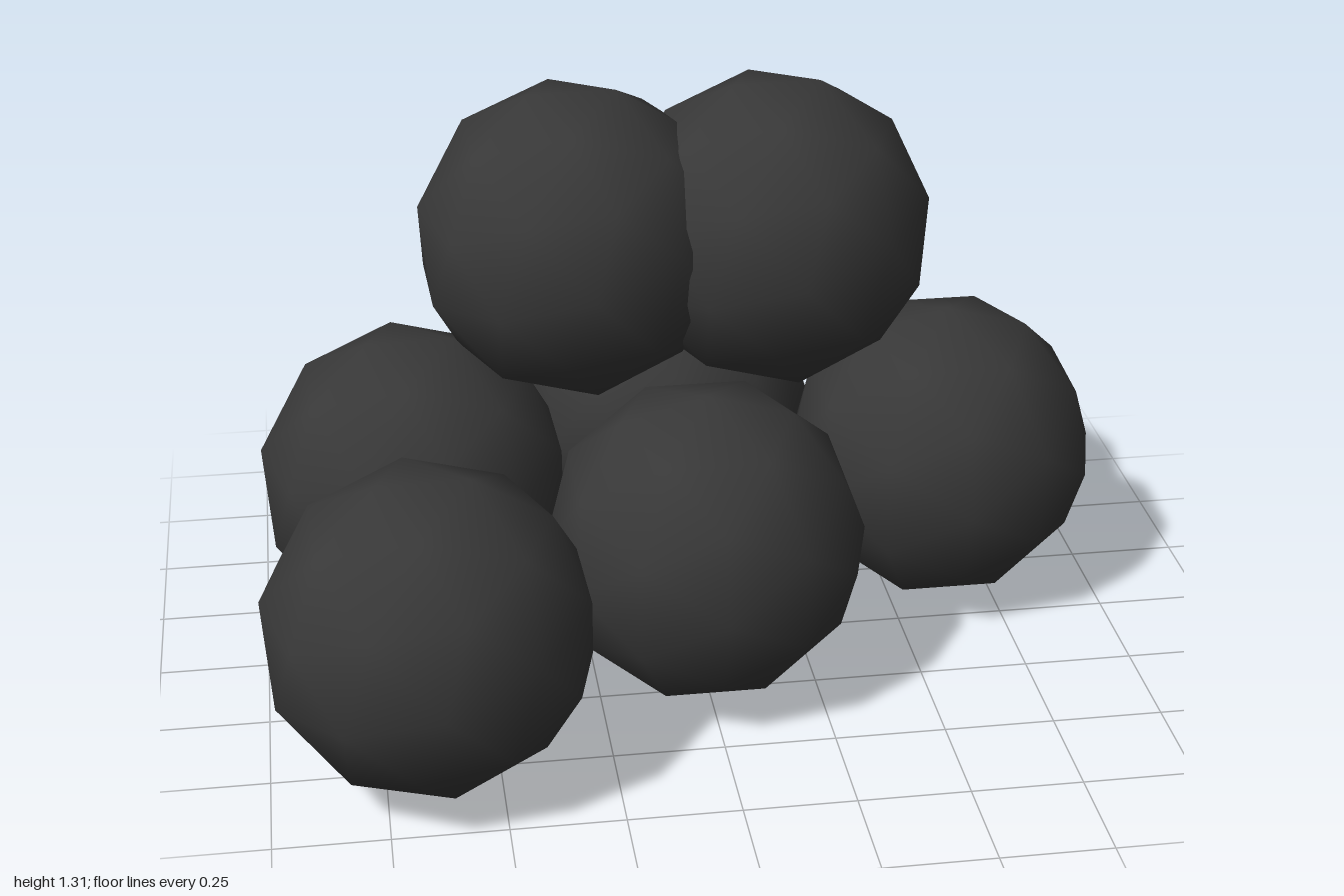
import * as THREE from 'three';

// A heap of seven round iron balls: five on the ground, two on top.
export function createModel() {
  const model = new THREE.Group();
  model.name = 'ballPile';

  const iron = new THREE.MeshStandardMaterial({ color: 0x383838 });
  iron.name = 'dark iron';

  // Low-poly ball with smooth normals, shared by the whole pile
  const ball = new THREE.IcosahedronGeometry(0.367, 1);

  // The ways the balls have rolled
  const nodded = [0.07, 0, 0];
  const leaning = [0.04, 0.04, -0.28];
  const upright = [1.018, 0, 0];

  const balls = [
    // Bottom layer
    ['frontBall', [0, 0.373, 0.2], nodded],
    ['leftBall', [0.63, 0.373, -0.197], nodded],
    ['rightBall', [-0.635, 0.375, -0.2], leaning],
    ['backBall', [0, 0.373, -0.53], upright],
    ['looseBall', [-0.643, 0.375, 0.515], leaning],
    // Top layer
    ['upperRightBall', [-0.248, 0.96, -0.2], leaning],
    ['upperLeftBall', [0.218, 0.96, -0.2], leaning],
  ];

  for (const [name, position, rotation] of balls) {
    const mesh = new THREE.Mesh(ball, iron);
    mesh.name = name;
    mesh.position.set(...position);
    mesh.rotation.set(...rotation);
    model.add(mesh);
  }
  return model;
}
